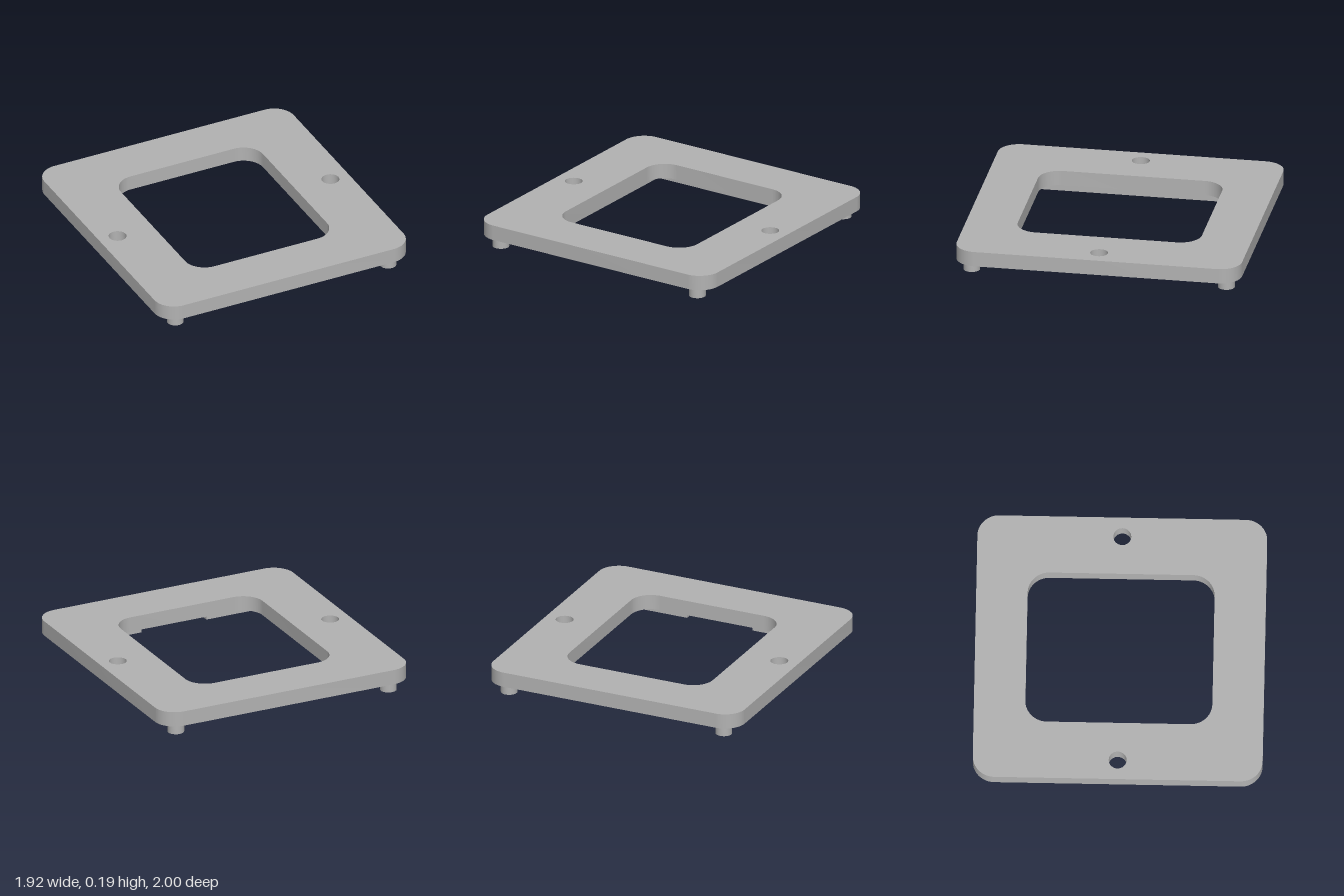
import * as THREE from 'three';
import { toCreasedNormals } from 'three/addons/utils/BufferGeometryUtils.js';

const PLATE_BOTTOM = 0.08, PLATE_TOP = 0.187;

// Rounded rectangle centred on the origin, given half sizes and corner radius
function roundedRect(path, w, h, r) {
  path.moveTo(w, -h + r);
  path.lineTo(w, h - r);
  path.absarc(w - r, h - r, r, 0, Math.PI / 2);
  path.absarc(-w + r, h - r, r, Math.PI / 2, Math.PI);
  path.absarc(-w + r, -h + r, r, Math.PI, Math.PI * 1.5);
  path.absarc(w - r, -h + r, r, Math.PI * 1.5, Math.PI * 2);
  return path;
}

function circle(path, x, y, r) {
  path.absarc(x, y, r, 0, Math.PI * 2);
  return path;
}

// Extrude a plan shape (shape y points to -z) upwards from y0 to y1
function slab(name, shape, y0, y1, material) {
  const geometry = new THREE.ExtrudeGeometry(shape, { depth: y1 - y0, bevelEnabled: false, curveSegments: 16 });
  geometry.rotateX(-Math.PI / 2).translate(0, y0, 0);
  const mesh = new THREE.Mesh(toCreasedNormals(geometry, 0.6), material);
  mesh.name = name;
  return mesh;
}

export function createModel() {
  const model = new THREE.Group();
  model.name = 'coverFrame';
  const grey = new THREE.MeshStandardMaterial({ color: 0xb2b2b2 });
  grey.name = 'grey plastic';

  // Face plate with window and two screw holes
  const plate = roundedRect(new THREE.Shape(), 0.96, 1, 0.15);
  plate.holes.push(roundedRect(new THREE.Path(), 0.547, 0.645, 0.15));
  for (const x of [-0.82, 0.82]) plate.holes.push(circle(new THREE.Path(), x, 0, 0.062));
  model.add(slab('facePlate', plate, PLATE_BOTTOM, PLATE_TOP, grey));

  // Locating wall underneath, open in the middle of the front side
  const X = 0.688, Z = 0.817, T = 0.05, GAP = 0.25;
  const wall = new THREE.Shape([
    [-GAP, -Z], [-GAP, -Z + T], [-X + T, -Z + T], [-X + T, Z - T], [X - T, Z - T], [X - T, -Z + T],
    [GAP, -Z + T], [GAP, -Z], [X, -Z], [X, Z], [-X, Z], [-X, -Z],
  ].map(([x, y]) => new THREE.Vector2(x, y)));
  model.add(slab('locatingWall', wall, 0, PLATE_BOTTOM, grey));

  // Hollow corner posts
  for (const x of [-0.82, 0.82]) {
    for (const z of [-0.892, 0.892]) {
      const post = circle(new THREE.Shape(), 0, 0, 0.058);
      post.holes.push(circle(new THREE.Path(), 0, 0, 0.025));
      const mesh = slab('cornerPost', post, 0, PLATE_BOTTOM, grey);
      mesh.position.set(x, 0, z);
      model.add(mesh);
    }
  }
  return model;
}
